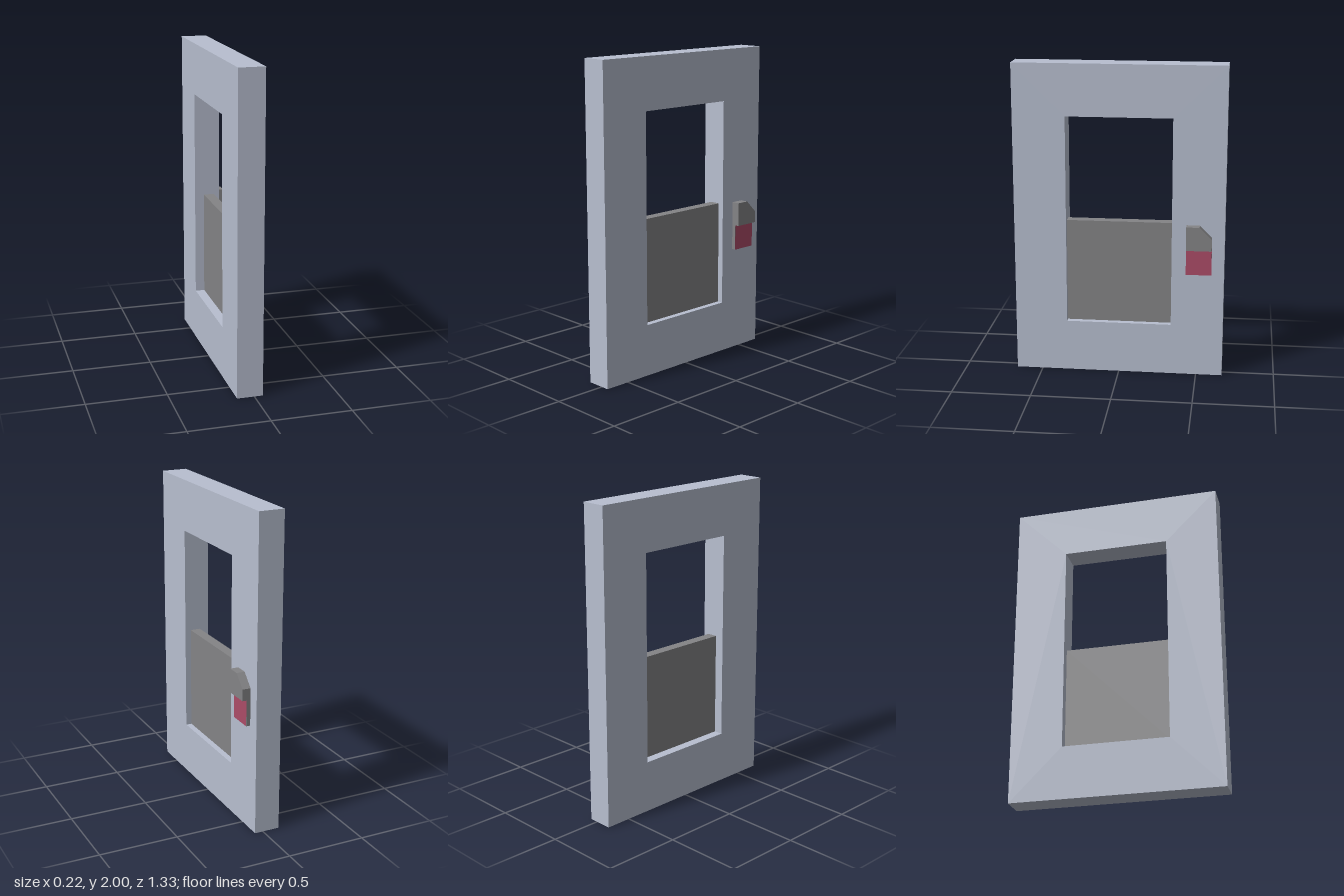
import * as THREE from 'three';

const material = (color) => new THREE.MeshStandardMaterial({ color, flatShading: true });
const frameMat = material(0xb8bfd0);
const greyMat = material(0x848486);
const redMat = material(0xac4c68);

const polygon = (points) => points.map(([u, y]) => new THREE.Vector2(u, y));
const rect = (u0, u1, y0, y1) => polygon([[u0, y0], [u1, y0], [u1, y1], [u0, y1]]);

// Extrude an outline drawn in (-z, y) along x, from x0 to x1
function slab(name, outline, x0, x1, mat, hole) {
  const shape = new THREE.Shape(outline);
  if (hole) shape.holes.push(new THREE.Path(hole));
  const geometry = new THREE.ExtrudeGeometry(shape, { depth: x1 - x0, bevelEnabled: false });
  geometry.rotateY(Math.PI / 2).translate(x0, 0, 0);
  const mesh = new THREE.Mesh(geometry, mat);
  mesh.name = name;
  return mesh;
}

export function createModel() {
  const model = new THREE.Group();
  model.name = 'door';
  const face = 0.054;

  // Door leaf with a tall opening, its lower half closed by a recessed panel
  model.add(slab('doorFrame', rect(-0.667, 0.667, 0, 2), -0.109, face, frameMat,
    rect(-0.335, 0.335, 0.333, 1.672)));
  model.add(slab('lowerPanel', rect(-0.335, 0.335, 0.333, 1), -0.05, 0.016, greyMat));

  // Lock: thin backing, thick clipped-corner cap and a red plate below it
  const lock = new THREE.Group();
  lock.name = 'lock';
  lock.add(slab('lockBase', rect(0.427, 0.588, 0.683, 0.848), face, 0.08, greyMat));
  lock.add(slab('lockCap', polygon([[0.427, 0.848], [0.588, 0.848], [0.588, 0.922], [0.51, 1], [0.427, 1]]),
    face, 0.107, greyMat));
  const plate = new THREE.Mesh(new THREE.PlaneGeometry(0.161, 0.165), redMat);
  plate.name = 'lockPlate';
  plate.rotation.y = Math.PI / 2;
  plate.position.set(0.081, 0.7655, -0.5075);
  lock.add(plate);
  model.add(lock);

  return model;
}
